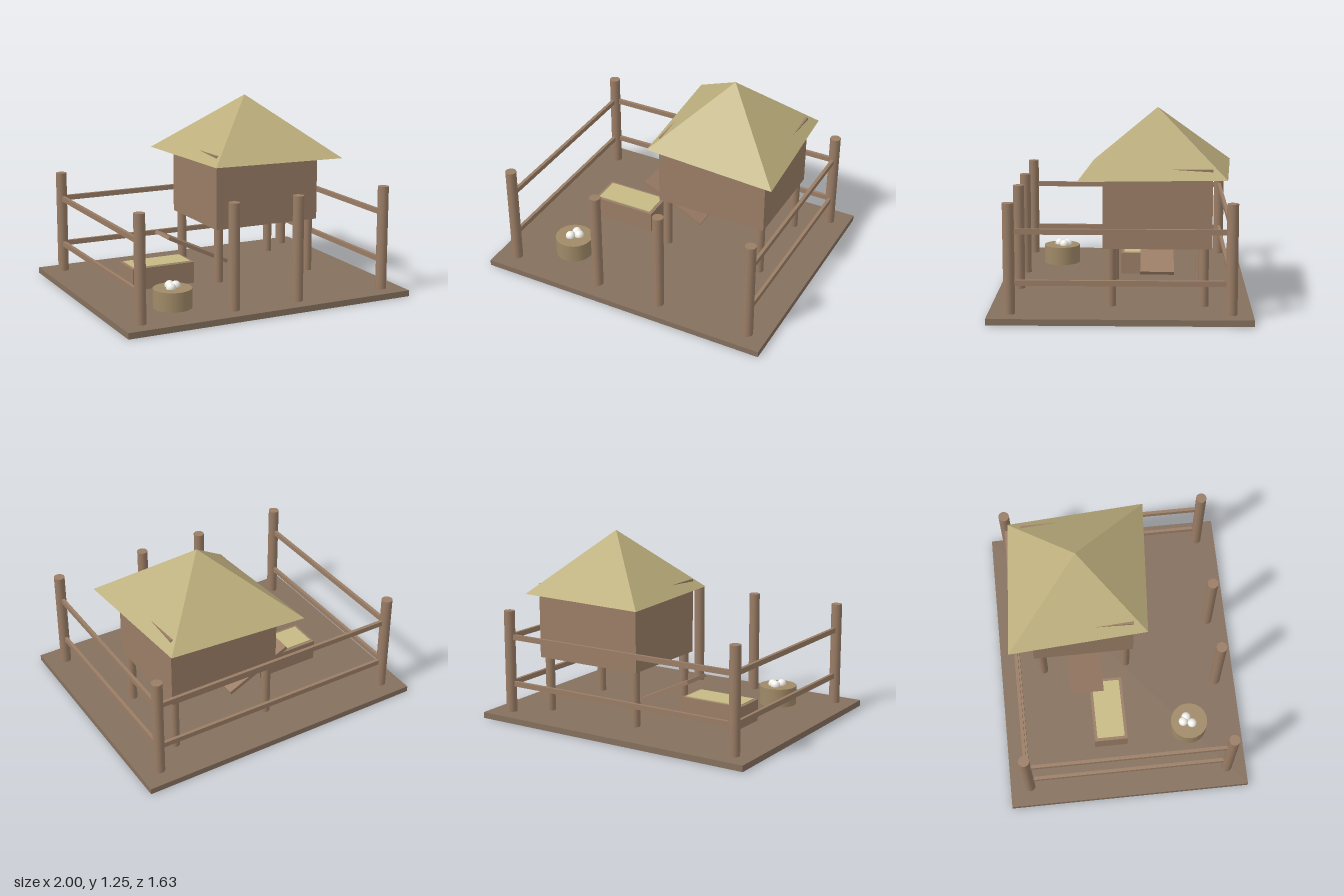
import * as THREE from 'three';

const mat = (color, flatShading = false) => new THREE.MeshStandardMaterial({ color, flatShading });

export function createModel() {
  const model = new THREE.Group();
  const wood = mat(0x9a7d66), earth = mat(0x85705e), thatch = mat(0xbcae7c, true);
  const straw = mat(0xc6ba84), wicker = mat(0xa08a68), shell = mat(0xf2f0ea);

  function add(name, geometry, material, x, y, z, parent = model) {
    const mesh = new THREE.Mesh(geometry, material);
    mesh.name = name;
    mesh.position.set(x, y, z);
    parent.add(mesh);
    return mesh;
  }
  const box = (w, h, d) => new THREE.BoxGeometry(w, h, d);
  const cyl = (r, h, n = 20) => new THREE.CylinderGeometry(r, r, h, n);

  // Ground slab
  add('ground', box(2, 0.04, 1.63), earth, 0, 0.02, 0);

  // Fence: four corner posts, two gate posts, rails on the back and sides
  const fence = new THREE.Group();
  fence.name = 'fence';
  model.add(fence);
  const fx = 0.865, fz = 0.682;
  for (const [x, z] of [[-fx, -fz], [fx, -fz], [-fx, fz], [fx, fz], [-0.228, fz], [0.228, fz]]) {
    add('fencePost', cyl(0.036, 0.69), wood, x, 0.385, z, fence);
  }
  for (const y of [0.233, 0.553]) {
    add('backRail', box(2 * fx, 0.034, 0.022), wood, 0, y, -fz, fence);
    for (const s of [-1, 1]) add('sideRail', box(0.022, 0.034, 2 * fz), wood, s * fx, y, 0, fence);
  }

  // Raised coop on four stilts; the wall tops just break through the roof
  const coop = new THREE.Group();
  coop.name = 'coop';
  coop.position.set(0.315, 0, -0.227);
  model.add(coop);
  add('coopWalls', box(0.77, 0.5, 0.68), wood, 0, 0.66, 0, coop);
  for (const x of [-0.345, 0.345]) {
    for (const z of [-0.29, 0.29]) add('stilt', cyl(0.031, 0.43), wood, x, 0.215, z, coop);
  }

  // Four-sided thatched roof, longer along one diagonal
  const roof = add('roof', new THREE.ConeGeometry(1, 0.405, 4), thatch, 0, 1.0525, 0, coop);
  roof.scale.set(0.607, 1, 0.696);
  roof.rotation.y = Math.PI / 4;

  // Ramp plank
  const ramp = add('ramp', box(0.49, 0.025, 0.225), wood, -0.093, 0.225, -0.227);
  ramp.rotation.z = -0.45;

  // Nest box with straw
  add('nestBox', box(0.445, 0.145, 0.227), wood, -0.412, 0.1125, -0.095);
  add('nestStraw', box(0.405, 0.05, 0.188), straw, -0.412, 0.166, -0.095);

  // Basket of eggs
  add('basket', cyl(0.126, 0.128, 24), wicker, -0.548, 0.102, 0.454);
  for (const [x, z] of [[-0.55, 0.413], [-0.518, 0.436], [-0.566, 0.472]]) {
    add('egg', new THREE.SphereGeometry(0.032, 20, 14), shell, x, 0.172, z);
  }
  return model;
}
